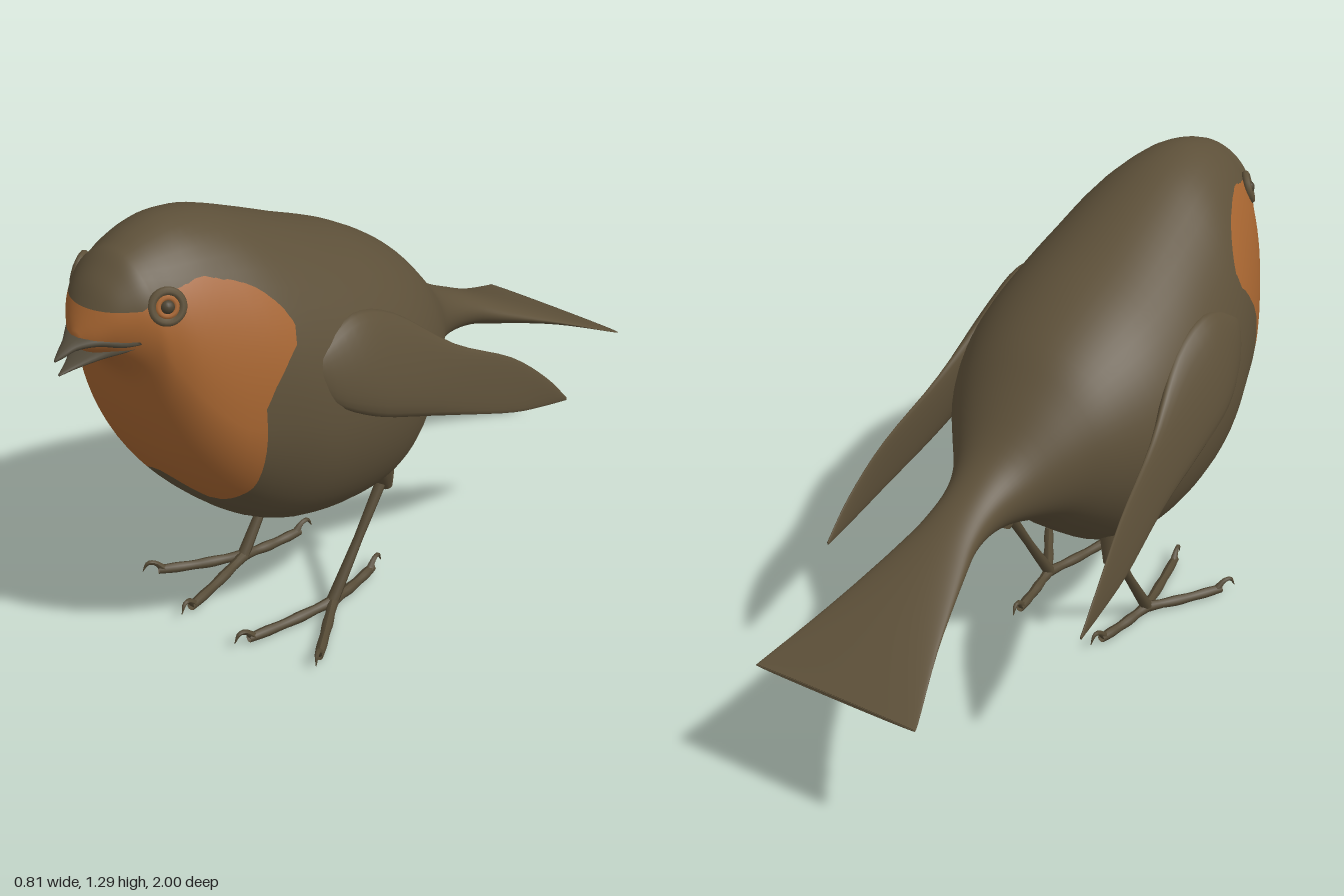
import * as THREE from 'three';

const mat = (name, color, side = THREE.FrontSide) =>
  Object.assign(new THREE.MeshStandardMaterial({ color, side }), { name });

// Piecewise linear lookup in [[input, output], ...]
function lookup(table, v) {
  if (v <= table[0][0]) return table[0][1];
  for (let i = 1; i < table.length; i++) {
    const [a, fa] = table[i - 1], [b, fb] = table[i];
    if (v <= b) return fa + (fb - fa) * (v - a) / (b - a);
  }
  return table[table.length - 1][1];
}

// Smoothly resample rows of numbers, column by column
function resample(rows, count) {
  const curves = rows[0].map((_, c) => new THREE.SplineCurve(rows.map(r => new THREE.Vector2(r[c], 0))));
  return Array.from({ length: count + 1 }, (_, i) => curves.map(c => c.getPoint(i / count).x));
}

// Closed skin over rings that run from front (+z) to back, a little fuller below
// row: z, top, bottom, half width, drop of the widest point, centre x, sideways lean
function loft(rows, sides, count) {
  const pos = [], index = [];
  const rings = resample(rows, count);
  for (const [z, top, bottom, w, drop = 0, cx = 0, lean = 0] of rings) {
    const cy = (top + bottom) / 2 - drop;
    for (let j = 0; j < sides; j++) {
      const t = j / sides * Math.PI * 2, c = Math.cos(t), s = Math.sin(t);
      const dy = c * (c > 0 ? top - cy : cy - bottom);
      const bulge = c > 0 ? s : Math.sign(s) * Math.abs(s) ** .8;
      pos.push(cx + w * bulge + lean * dy, cy + dy, z);
    }
  }
  for (let i = 0; i < count; i++) for (let j = 0; j < sides; j++) {
    const a = i * sides + j, b = i * sides + (j + 1) % sides;
    index.push(a, b, a + sides, b, b + sides, a + sides);
  }
  // End caps
  [0, count].forEach(i => {
    const [z, top, bottom, , , cx = 0] = rings[i], c = pos.length / 3;
    pos.push(cx, (top + bottom) / 2, z);
    for (let j = 0; j < sides; j++) {
      const a = i * sides + j, b = i * sides + (j + 1) % sides;
      index.push(c, i ? a : b, i ? b : a);
    }
  });
  const g = new THREE.BufferGeometry();
  g.setAttribute('position', new THREE.Float32BufferAttribute(pos, 3));
  g.setIndex(index);
  g.computeVertexNormals();
  return g;
}

// Cut triangles along field = 0; group 0 is outside, group 1 inside
function splitByField(g, field) {
  const P = g.attributes.position, N = g.attributes.normal, idx = g.index.array;
  const out = [[], []];
  const vert = i => {
    const p = new THREE.Vector3().fromBufferAttribute(P, i);
    return { p, n: new THREE.Vector3().fromBufferAttribute(N, i), f: field(p) };
  };
  const clip = (tri, sign) => {
    const poly = [];
    tri.forEach((a, k) => {
      const b = tri[(k + 1) % 3];
      if (a.f * sign >= 0) poly.push(a);
      if (a.f * b.f < 0) {
        const t = a.f / (a.f - b.f);
        poly.push({ p: a.p.clone().lerp(b.p, t), n: a.n.clone().lerp(b.n, t).normalize() });
      }
    });
    return poly;
  };
  for (let i = 0; i < idx.length; i += 3) {
    const tri = [vert(idx[i]), vert(idx[i + 1]), vert(idx[i + 2])];
    [-1, 1].forEach((sign, s) => {
      const poly = clip(tri, sign);
      for (let k = 2; k < poly.length; k++) out[s].push(poly[0], poly[k - 1], poly[k]);
    });
  }
  const all = out[0].concat(out[1]), res = new THREE.BufferGeometry();
  res.setAttribute('position', new THREE.Float32BufferAttribute(all.flatMap(v => v.p.toArray()), 3));
  res.setAttribute('normal', new THREE.Float32BufferAttribute(all.flatMap(v => v.n.toArray()), 3));
  res.addGroup(0, out[0].length, 0);
  res.addGroup(out[0].length, out[1].length, 1);
  return res;
}

// Tube whose radius follows a list of radii along the path
function taperTube(points, radii, segs = 14, sides = 8) {
  const curve = new THREE.CatmullRomCurve3(points.map(p => new THREE.Vector3(...p)));
  const g = new THREE.TubeGeometry(curve, segs, 1, sides);
  const table = radii.map((r, i) => [i / (radii.length - 1), r]);
  const p = g.attributes.position, v = new THREE.Vector3();
  for (let i = 0; i < p.count; i++) {
    const t = Math.floor(i / (sides + 1)) / segs, c = curve.getPointAt(t);
    v.fromBufferAttribute(p, i).sub(c).multiplyScalar(lookup(table, t)).add(c);
    p.setXYZ(i, v.x, v.y, v.z);
  }
  g.computeVertexNormals();
  return g;
}

export function createModel() {
  const model = new THREE.Group();
  model.name = 'bird';
  const brown = mat('brown plumage', 0x5d5039), orange = mat('orange breast', 0xa56430);
  const horn = mat('beak horn', 0x50493a), legMat = mat('leg brown', 0x544934, THREE.DoubleSide);
  const eyeMat = mat('eye', 0x4a4130);
  const add = (parent, name, geo, m) => {
    const mesh = new THREE.Mesh(geo, m);
    mesh.name = name;
    parent.add(mesh);
    return mesh;
  };

  // Head, body and tail in one skin
  const body = loft([
    [.935, 1.085, 1.05, .015, 0], [.915, 1.125, 1.035, .05, 0], [.88, 1.185, 1.015, .09, 0],
    [.84, 1.225, .975, .125, 0], [.81, 1.25, .92, .15, .01], [.783, 1.262, .81, .178, .036],
    [.73, 1.28, .67, .226, .075], [.64, 1.293, .535, .275, .11], [.52, 1.272, .42, .318, .068],
    [.385, 1.218, .35, .35, .058], [.2, 1.135, .315, .363, .02], [.04, 1.065, .325, .34, 0],
    [-.1, .98, .43, .275, 0], [-.2, .885, .51, .205, 0], [-.31, .77, .55, .125, 0],
    [-.4, .71, .56, .09, 0], [-.5, .66, .553, .088, 0], [-.6, .61, .525, .112, 0],
    [-.8, .51, .468, .172, 0], [-.98, .418, .405, .24, 0], [-1, .41, .402, .243, 0],
  ], 56, 80);
  // Orange face and breast patch
  const rear = [[.53, .62], [.6, .595], [.85, .595], [.92, .55], [.98, .49], [1.04, .475],
    [1.12, .53], [1.17, .6], [1.19, .66]];
  const brow = [[.125, 1.145], [.155, 1.19]];
  const hem = [[0, .595], [.04, .585], [.12, .535], [.23, .53], [.29, .57]];
  const patch = p => Math.min(p.z - lookup(rear, p.y),
    lookup(brow, Math.abs(p.x)) - p.y, p.y - lookup(hem, Math.abs(p.x)));
  add(model, 'body', splitByField(body, patch), [brown, orange]);

  // Open beak
  add(model, 'upperBeak', loft([
    [1, 1.042, 1.036, .003], [.98, 1.058, 1.04, .013], [.95, 1.075, 1.05, .028],
    [.91, 1.085, 1.052, .062], [.87, 1.084, 1.042, .1], [.84, 1.078, 1.05, .127],
  ], 16, 18), horn);
  add(model, 'lowerBeak', loft([
    [.99, 1, .995, .003], [.95, 1.018, 1.002, .022], [.9, 1.042, 1.012, .055],
    [.87, 1.055, 1.022, .085], [.84, 1.062, 1.035, .115],
  ], 16, 14), horn);

  for (const s of [1, -1]) {
    const side = s > 0 ? 'left' : 'right';

    // Eye with its lids
    const eye = new THREE.Group();
    eye.name = side + 'Eye';
    eye.position.set(s * .151, 1.147, .777);
    eye.lookAt(s * 1.001, 1.427, 1.277);
    add(eye, 'outerLid', new THREE.TorusGeometry(.037, .011, 8, 28), brown);
    add(eye, 'innerLid', new THREE.TorusGeometry(.022, .009, 8, 24), orange);
    add(eye, 'eyeball', new THREE.SphereGeometry(.018, 16, 12), eyeMat);
    model.add(eye);

    // Folded wing, its shoulder blending into the body
    add(model, side + 'Wing', loft([
      [.46, .915, .885, .004, .305, -.1], [.4, .95, .79, .025, .316, -.2], [.28, .985, .715, .044, .325, -.25],
      [.13, .93, .65, .042, .328, -.25], [-.07, .775, .57, .016, .355, -.15],
      [-.28, .66, .495, .008, .384, -.12], [-.42, .545, .458, .006, .398, -.05], [-.51, .448, .438, .003, .403, 0],
    ].map(([z, top, bottom, w, x, lean]) => [z, top, bottom, w, 0, s * x, s * lean]), 24, 28), brown);

    // Feathered thigh and shank
    add(model, side + 'Thigh', taperTube(
      [[s * .165, .46, .07], [s * .172, .375, .03], [s * .174, .3, 0]], [.07, .045, .016], 12, 16), brown);
    add(model, side + 'Shank', taperTube(
      [[s * .174, .34, .015], [s * .172, .18, .12], [s * .17, .025, .225]], [.016, .013, .018]), legMat);

    // Two front toes and one hind toe, each ending in a hooked claw
    const foot = new THREE.Group();
    foot.name = side + 'Foot';
    foot.position.set(s * .17, 0, .22);
    for (const [name, x, z] of [['outerToe', .135, .21], ['innerToe', -.06, .275], ['hindToe', -.03, -.2]]) {
      const d = new THREE.Vector2(s * x, z), u = d.clone().normalize();
      const at = (extra, y) => [d.x + u.x * extra, y, d.y + u.y * extra];
      add(foot, name, taperTube([[0, .025, 0], [d.x * .5, .018, d.y * .5], at(0, .02)],
        [.017, .013, .016, .013, .015, .012]), legMat);
      add(foot, name + 'Claw', taperTube([at(-.015, .022), at(.01, .045), at(.03, .047), at(.045, .022)],
        [.012, .008, .006, .001], 10, 6), legMat);
    }
    model.add(foot);
  }
  return model;
}
